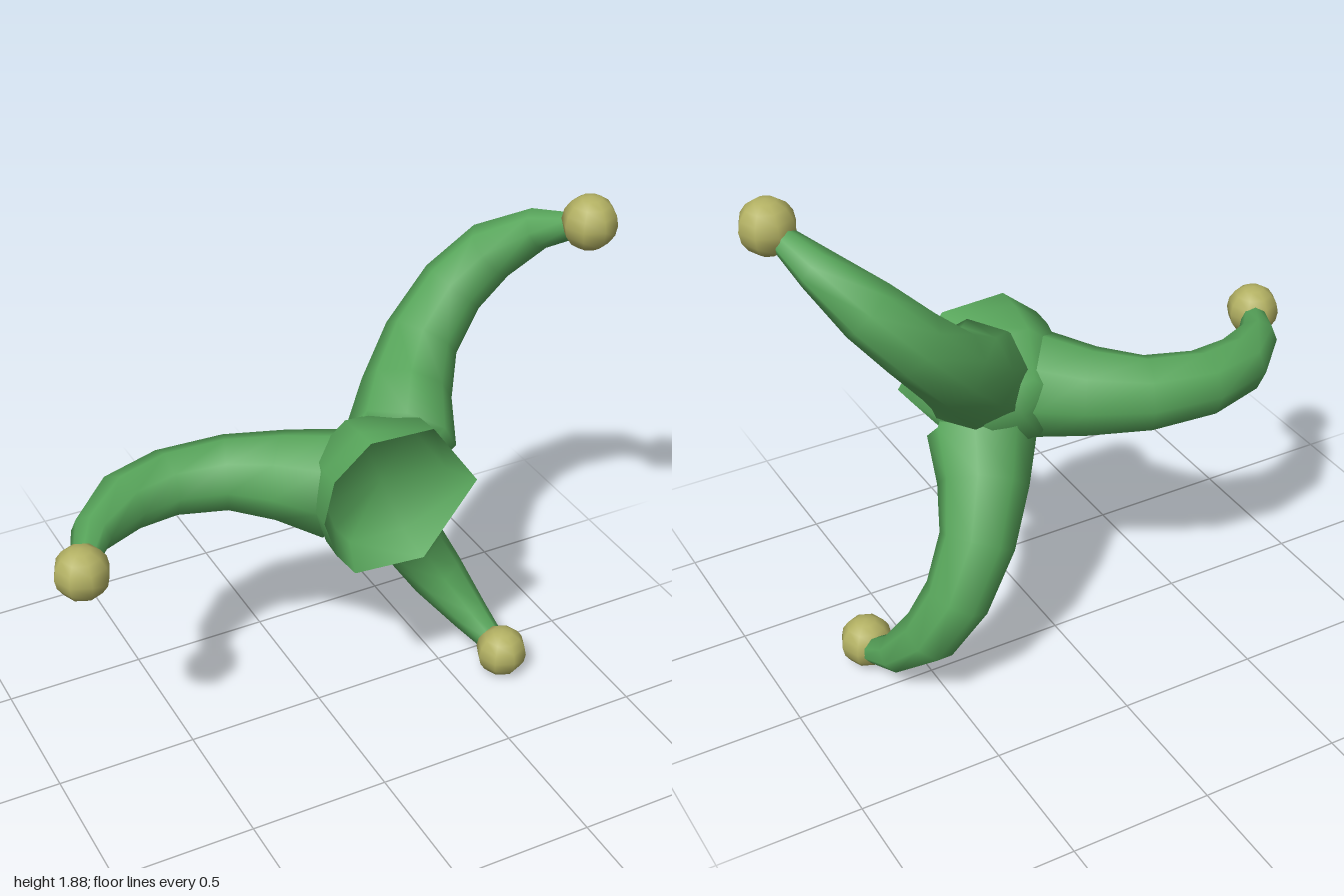
import * as THREE from 'three';
import { mergeVertices } from 'three/addons/utils/BufferGeometryUtils.js';

const CENTRE = [0.16, 1.0];

// Joins closed rings of points into a smooth skin
function loft(rings) {
  const n = rings[0].length, index = [];
  for (let i = 0; i < rings.length - 1; i++) {
    for (let j = 0; j < n; j++) {
      const k = (j + 1) % n;
      const a = i * n + j, b = i * n + k, c = a + n, d = b + n;
      index.push(a, b, c, b, d, c);
    }
  }
  const g = new THREE.BufferGeometry();
  g.setAttribute('position', new THREE.Float32BufferAttribute(rings.flat(2), 3));
  g.setIndex(index);
  const merged = mergeVertices(g, 1e-5);
  merged.computeVertexNormals();
  return merged;
}

// Uneven opening of the hat, counter-clockwise from the front
const RIM = [[0.445, 1.0], [0.27, 1.25], [0.04, 1.26], [-0.09, 1.15],
  [-0.125, 1.0], [-0.08, 0.86], [-0.01, 0.765], [0.25, 0.745]];

const rimRing = (scale, z) => RIM.map(([x, y]) => [
  CENTRE[0] + (x - CENTRE[0]) * scale, CENTRE[1] + (y - CENTRE[1]) * scale, z]);

// Horn centre line: distance from hub, depth, radius
const HORN = [[0.06, 0.13, 0.19], [0.16, 0.08, 0.185], [0.28, -0.04, 0.155],
  [0.44, -0.14, 0.13], [0.64, -0.175, 0.115], [0.815, -0.135, 0.103],
  [0.97, -0.015, 0.07], [1.05, 0.12, 0.042]];

function hornGeometry(angle, sides = 8) {
  const c = Math.cos(angle), s = Math.sin(angle);
  const rings = HORN.map(([d, z, r], i) => {
    const p = HORN[Math.max(i - 1, 0)], q = HORN[Math.min(i + 1, HORN.length - 1)];
    const len = Math.hypot(q[0] - p[0], q[1] - p[1]);
    const td = (q[0] - p[0]) / len, tz = (q[1] - p[1]) / len;
    return Array.from({ length: sides }, (_, j) => {
      const t = (j / sides) * Math.PI * 2;
      const along = d - tz * r * Math.cos(t);
      const side = -r * Math.sin(t);
      let depth = z + td * r * Math.cos(t);
      // keep the root behind the hat's lining
      if (Math.hypot(along, side) < 0.27) depth = Math.min(depth, 0.1);
      return [CENTRE[0] + along * c - side * s, CENTRE[1] + along * s + side * c, depth];
    });
  });
  return loft(rings);
}

export function createModel() {
  const group = new THREE.Group();
  const green = new THREE.MeshStandardMaterial({ color: 0x58a65b, side: THREE.DoubleSide });
  green.name = 'green cloth';
  const gold = new THREE.MeshStandardMaterial({ color: 0xb3b163 });
  gold.name = 'gold';

  const add = (name, geometry, material) => {
    const mesh = new THREE.Mesh(geometry, material);
    mesh.name = name;
    group.add(mesh);
    return mesh;
  };

  // Crown of the hat, from the back to the opening
  add('crown', loft([rimRing(0, -0.07), rimRing(0.45, -0.05), rimRing(0.88, 0.08),
    rimRing(0.98, 0.2), rimRing(1, 0.285)]), green);
  // Hollow inside of the opening
  add('lining', loft([rimRing(1, 0.285), rimRing(0.8, 0.18), rimRing(0, 0.14)]), green);

  // Three curled horns, each ending in a ball
  const tips = { right: [-0.91, 0.99], upperLeft: [0.9, 1.79], lowerLeft: [0.67, 0.1] };
  for (const [name, [x, y]] of Object.entries(tips)) {
    const angle = Math.atan2(y - CENTRE[1], x - CENTRE[0]);
    add(name + 'Horn', hornGeometry(angle), green);
    add(name + 'Ball', new THREE.SphereGeometry(0.093, 8, 8), gold).position.set(x, y, 0.16);
  }
  return group;
}
